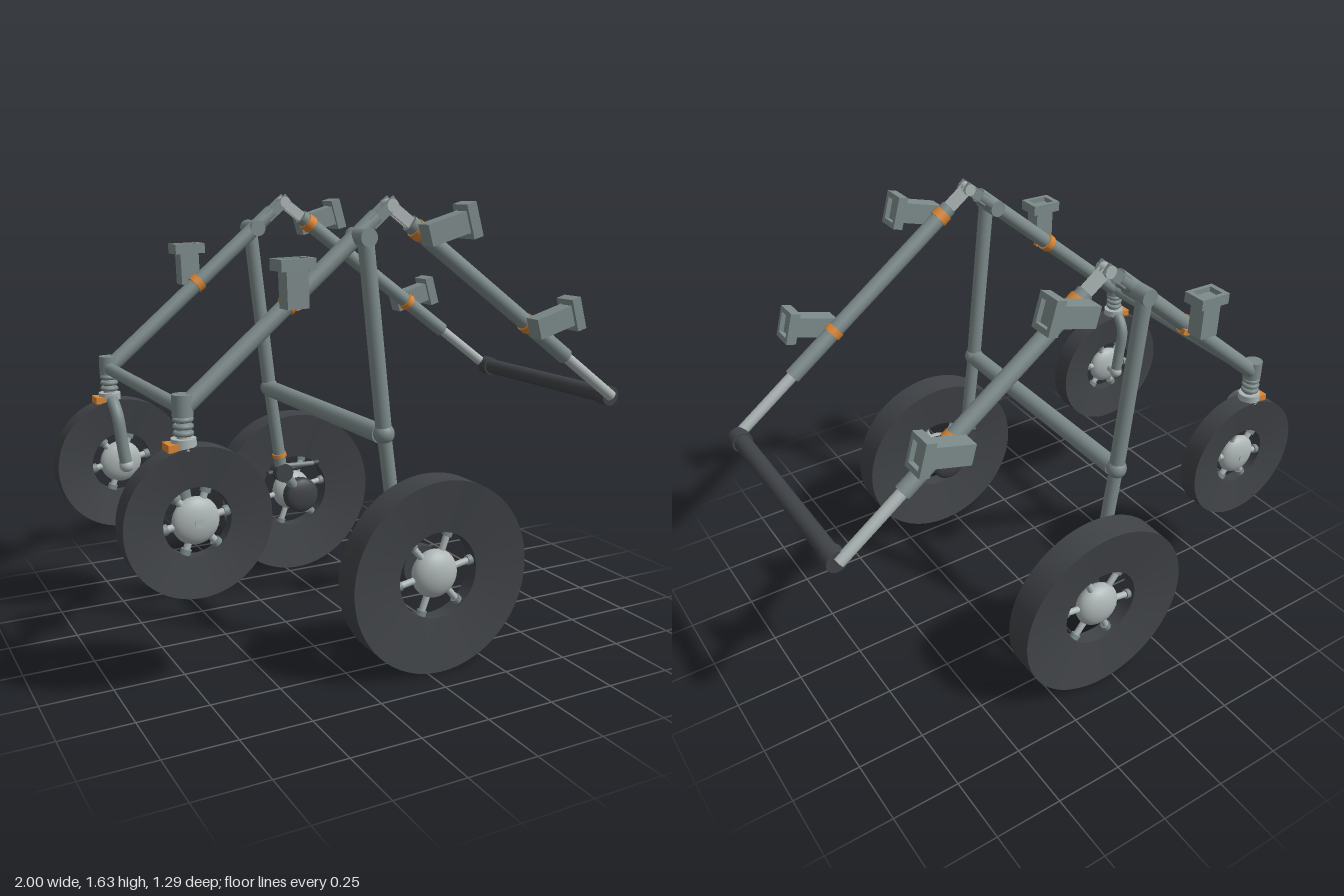
import * as THREE from 'three';
import { toCreasedNormals } from 'three/addons/utils/BufferGeometryUtils.js';

const mat = (name, color) => {
  const m = new THREE.MeshStandardMaterial({ color });
  m.name = name;
  return m;
};

export function createModel() {
  const root = new THREE.Group();
  root.name = 'walkingFrame';
  const grey = mat('frameGrey', 0x7d8a8a);
  const light = mat('lightMetal', 0xadb5b5);
  const dark = mat('rubberBlack', 0x404347);
  const orange = mat('orange', 0xd98534);

  const add = (name, geo, m, x = 0, y = 0, z = 0) => {
    const mesh = new THREE.Mesh(geo, m);
    mesh.name = name;
    mesh.position.set(x, y, z);
    root.add(mesh);
    return mesh;
  };
  // Round bar between two points
  const rod = (name, a, b, r, m, r2 = r) => {
    const p = new THREE.Vector3(...a), q = new THREE.Vector3(...b);
    const d = q.clone().sub(p);
    const mesh = add(name, new THREE.CylinderGeometry(r2, r, d.length(), 20), m);
    mesh.position.copy(p).add(q).multiplyScalar(0.5);
    mesh.quaternion.setFromUnitVectors(new THREE.Vector3(0, 1, 0), d.normalize());
    return mesh;
  };
  const box = (name, w, h, d, m, x, y, z, tilt = 0) => {
    const mesh = add(name, new THREE.BoxGeometry(w, h, d), m, x, y, z);
    mesh.rotation.z = tilt;
    return mesh;
  };
  const ball = (name, r, m, x, y, z, flat = 1) => {
    const mesh = add(name, new THREE.SphereGeometry(r, 28, 18), m, x, y, z);
    mesh.scale.z = flat;
    return mesh;
  };

  // Wheel with dished tyre faces, spokes and domed hub
  const wheel = (name, x, y, z, R, rin, half, hub) => {
    const k = half * 0.5;
    const profile = [[rin, -k], [R, -half], [R, half], [rin, k], [rin, -k]]
      .map(([a, b]) => new THREE.Vector2(a, b));
    const tyre = add(name + 'Tyre', toCreasedNormals(new THREE.LatheGeometry(profile, 64), 0.5), dark, x, y, z);
    tyre.rotation.x = Math.PI / 2;
    ball(name + 'Hub', hub, light, x, y, z, (half * 0.95) / hub);
    for (let i = 0; i < 6; i++) {
      const a = i * Math.PI / 3 + 0.17, c = Math.cos(a), s = Math.sin(a);
      rod(name + 'Spoke', [x + c * hub * 0.6, y + s * hub * 0.6, z],
        [x + c * (rin + 0.01), y + s * (rin + 0.01), z], 0.012, light);
      rod(name + 'SpokeFoot', [x + c * (rin - 0.018), y + s * (rin - 0.018), z],
        [x + c * (rin + 0.005), y + s * (rin + 0.005), z], 0.018, grey);
    }
  };

  // Clamp: a body ending in an open square socket, pointing along its own +x
  const clamp = (x, y, z, tilt, bodyLen) => {
    const g = new THREE.Group();
    g.name = 'clamp';
    const body = new THREE.Mesh(new THREE.BoxGeometry(bodyLen, 0.075, 0.065), grey);
    body.name = 'clampBody';
    body.position.x = -bodyLen / 2;
    const shape = new THREE.Shape([[-0.045, -0.06], [0.045, -0.06], [0.045, 0.06], [-0.045, 0.06]]
      .map(p => new THREE.Vector2(...p)));
    shape.holes.push(new THREE.Path([[-0.03, -0.04], [-0.03, 0.04], [0.03, 0.04], [0.03, -0.04]]
      .map(p => new THREE.Vector2(...p))));
    const socket = new THREE.Mesh(new THREE.ExtrudeGeometry(shape, { depth: 0.038, bevelEnabled: false }), grey);
    socket.name = 'clampSocket';
    socket.rotation.y = Math.PI / 2;
    const floor = new THREE.Mesh(new THREE.BoxGeometry(0.015, 0.1, 0.07), grey);
    floor.name = 'socketFloor';
    floor.position.x = 0.012;
    g.add(body, socket, floor);
    g.position.set(x, y, z);
    g.rotation.z = tilt;
    root.add(g);
  };

  for (const s of [1, -1]) {
    const zf = 0.425 * s, zl = 0.482 * s;
    const frontY = x => 0.975 + (x + 0.79) * 0.845;
    const rearY = x => 1.595 - (x + 0.05) * 0.73;

    // Sloping rails, hinged together at the top
    rod('frontRail', [-0.79, 0.975, zf], [-0.1, frontY(-0.1), zf], 0.029, grey);
    rod('rearRail', [0.03, rearY(0.03), zf], [0.72, rearY(0.72), zf], 0.03, grey);
    rod('handleTube', [0.7, rearY(0.7), zf], [0.955, 0.86, zf], 0.021, light);
    for (const o of [-0.02, 0.02]) {
      box('hingePlate', 0.12, 0.04, 0.009, grey, -0.08, 1.573, zf + o, 0.7);
      box('hingePlate', 0.12, 0.04, 0.009, light, -0.005, 1.562, zf + o * 0.5, -0.63);
    }
    rod('hingePin', [-0.05, 1.595, zf - 0.028], [-0.05, 1.595, zf + 0.028], 0.022, light);

    // Accessory clamps and their collars
    clamp(0.2, 1.54, 0.495 * s, 0.28, 0.155);
    clamp(0.664, 1.2, 0.495 * s, 0.28, 0.155);
    clamp(-0.435, 1.4, 0.495 * s, Math.PI / 2 + 0.03, 0.12);
    const collar = (x, y, dx, dy) =>
      rod('collar', [x - dx, y - dy, zf], [x + dx, y + dy, zf], 0.035, orange);
    collar(0.065, rearY(0.065), 0.014, -0.01);
    collar(0.537, rearY(0.537), 0.011, -0.008);
    collar(-0.42, frontY(-0.42), 0.011, 0.009);
    box('collarTab', 0.03, 0.02, 0.02, orange, -0.395, 1.28, 0.45 * s, 0.3);

    // Main leg
    rod('legPivot', [-0.17, 1.495, 0.395 * s], [-0.17, 1.495, 0.51 * s], 0.031, grey);
    rod('upperLeg', [-0.17, 1.495, zl], [-0.095, 0.84, zl], 0.028, grey);
    ball('legJoint', 0.037, grey, -0.095, 0.835, zl);
    rod('lowerLeg', [-0.095, 0.84, zl], [-0.045, 0.48, zl], 0.025, grey);
    rod('legRing', [-0.054, 0.545, zl], [-0.051, 0.53, zl], 0.03, orange);

    // Axle bracket and brake of the large wheel
    rod('bracketArm', [-0.045, 0.47, zl], [0.05, 0.345, zl], 0.022, grey);
    rod('brakeLever', [-0.1, 0.455, 0.5 * s], [0.14, 0.478, 0.5 * s], 0.012, dark);
    rod('brakeLink', [-0.05, 0.49, 0.47 * s], [0.1, 0.485, 0.47 * s], 0.01, grey);
    rod('brakePivot', [-0.04, 0.46, 0.455 * s], [-0.04, 0.46, 0.525 * s], 0.04, dark);
    rod('brakeDrum', [0.05, 0.345, 0.475 * s], [0.05, 0.345, 0.51 * s], 0.075, dark);
    ball('brakeCap', 0.075, dark, 0.05, 0.345, 0.477 * s, 0.36);
    rod('largeAxle', [0.05, 0.345, 0.49 * s], [0.05, 0.345, 0.6 * s], 0.02, light);
    wheel('largeWheel', 0.05, 0.345, 0.588 * s, 0.345, 0.155, 0.057, 0.087);

    // Caster swivel
    rod('swivelHead', [-0.787, 0.955, zf], [-0.787, 1.025, zf], 0.034, grey);
    rod('swivelStem', [-0.787, 0.85, zf], [-0.787, 0.97, zf], 0.022, light);
    for (let i = 0; i < 3; i++) {
      const ring = add('swivelRing', new THREE.TorusGeometry(0.025, 0.009, 10, 24), grey, -0.787, 0.945 - i * 0.022, zf);
      ring.rotation.x = Math.PI / 2;
    }
    rod('swivelNut', [-0.787, 0.85, zf], [-0.787, 0.885, zf], 0.041, light);
    box('swivelTab', 0.045, 0.025, 0.065, orange, -0.825, 0.86, zf);

    // Curved single-sided caster fork
    const path = new THREE.CatmullRomCurve3([[-0.787, 0.87, 0.42], [-0.785, 0.845, 0.375],
      [-0.78, 0.8, 0.348], [-0.768, 0.7, 0.347], [-0.755, 0.61, 0.347]]
      .map(([x, y, z]) => new THREE.Vector3(x, y, z * s)));
    add('casterFork', new THREE.TubeGeometry(path, 24, 0.023, 16), grey);
    ball('forkEnd', 0.027, light, -0.755, 0.61, 0.347 * s);
    rod('smallAxle', [-0.755, 0.61, 0.345 * s], [-0.755, 0.61, 0.44 * s], 0.018, light);
    wheel('smallWheel', -0.755, 0.61, zf, 0.25, 0.115, 0.041, 0.08);
    rod('hubCap', [-0.755, 0.61, 0.45 * s], [-0.755, 0.61, 0.467 * s], 0.016, light);

    // Handle end cap
    rod('handleCap', [0.958, 0.858, 0.37 * s], [0.958, 0.858, 0.42 * s], 0.039, dark);
  }

  // Cross bars joining both sides
  rod('handleBar', [0.958, 0.858, -0.39], [0.958, 0.858, 0.39], 0.032, dark);
  rod('middleCrossBar', [-0.096, 0.83, -0.46], [-0.096, 0.83, 0.46], 0.034, grey);
  rod('frontCrossBar', [-0.787, 0.978, -0.42], [-0.787, 0.978, 0.42], 0.023, grey);

  return root;
}
